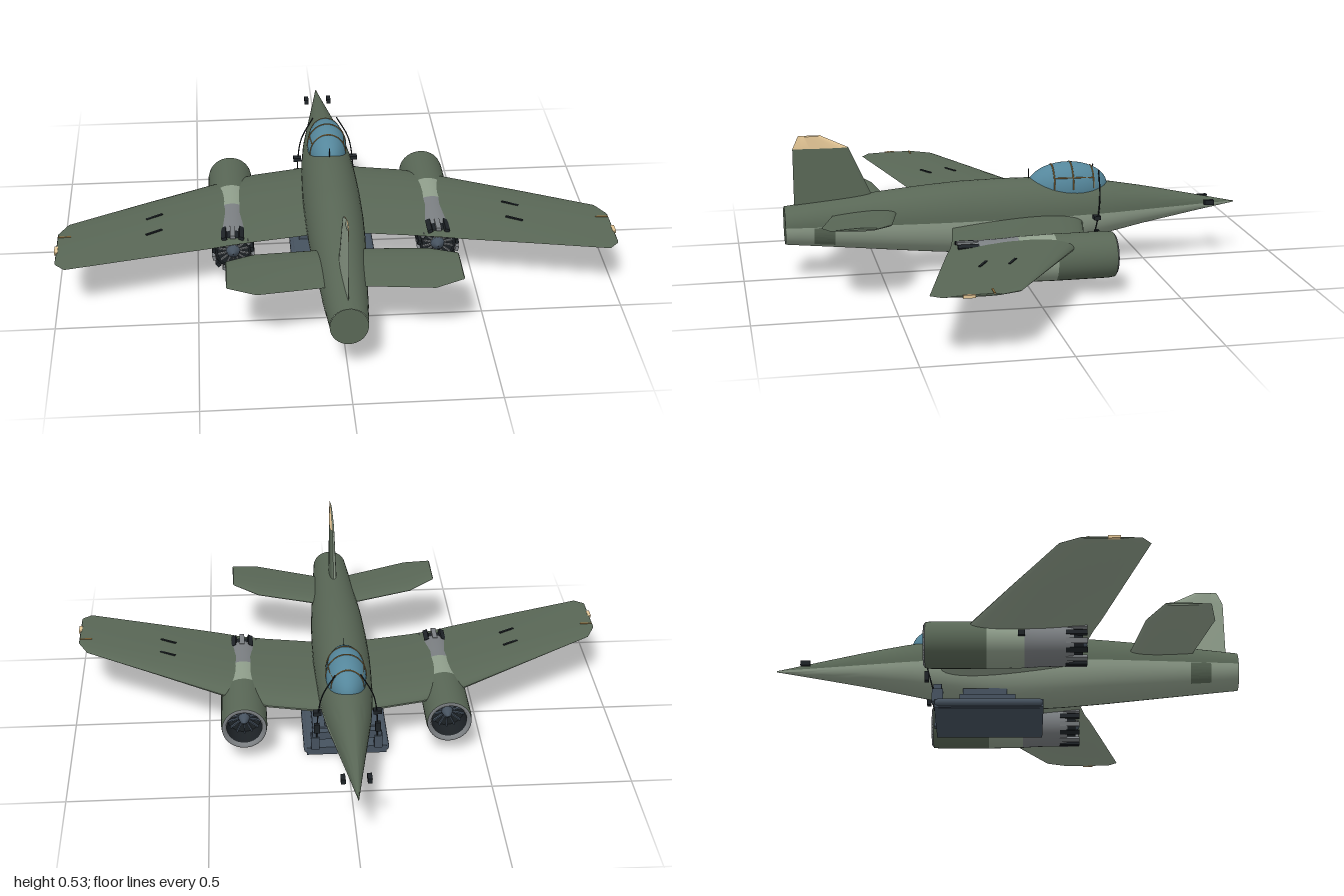
import * as THREE from 'three';
import { toCreasedNormals } from 'three/addons/utils/BufferGeometryUtils.js';

const paint = (name, color) => {
  const m = new THREE.MeshStandardMaterial({ color, side: THREE.DoubleSide });
  m.name = name;
  return m;
};

// surface swept over a grid of points f(i, j)
function sweep(nu, nv, f) {
  const pos = [], idx = [];
  for (let i = 0; i <= nu; i++) for (let j = 0; j <= nv; j++) pos.push(...f(i, j));
  for (let i = 0; i < nu; i++) for (let j = 0; j < nv; j++) {
    const a = i * (nv + 1) + j, b = a + nv + 1;
    idx.push(a, a + 1, b, a + 1, b + 1, b);
  }
  const g = new THREE.BufferGeometry();
  g.setAttribute('position', new THREE.Float32BufferAttribute(pos, 3));
  g.setIndex(idx);
  return toCreasedNormals(g, 0.6);
}

// one face of an airfoil; each station is [span, leading z, trailing z, height, half thickness, trailing lift]
function foil(stations, top) {
  const n = 16;
  return sweep(stations.length - 1, n, (i, j) => {
    const [x, le, te, y, h, lift = 0] = stations[i];
    const t = (1 - Math.cos(Math.PI * (top ? j / n : 1 - j / n))) / 2;
    const k = (0.2969 * Math.sqrt(t) - 0.126 * t - 0.3516 * t * t + 0.2843 * t ** 3 - 0.1036 * t ** 4) * 10;
    return [x, y + lift * t + (top ? 1 : -1) * h * k, le + (te - le) * t];
  });
}
const bothSides = (half) => [...half.slice().reverse().map(([x, ...r]) => [-x, ...r]), ...half];

// fuselage stations: [z, half width, top y, bottom y]
const BODY = [
  [-0.85, 0.001, 0.207, 0.203], [-0.7, 0.025, 0.24, 0.178], [-0.5, 0.058, 0.283, 0.143],
  [-0.35, 0.083, 0.31, 0.112], [-0.2, 0.098, 0.328, 0.08], [-0.05, 0.104, 0.336, 0.06],
  [0.05, 0.106, 0.337, 0.057], [0.2, 0.105, 0.335, 0.066], [0.35, 0.1, 0.325, 0.08],
  [0.5, 0.09, 0.311, 0.096], [0.65, 0.08, 0.295, 0.112], [0.847, 0.065, 0.272, 0.132],
];
const MID = 0.208;
function bodySkin(z0, z1, a0, a1, scale = 1) {
  const rows = 32, cols = 20;
  return sweep(rows, cols, (i, j) => {
    const z = z0 + (z1 - z0) * i / rows, a = a0 + (a1 - a0) * j / cols;
    let k = 1;
    while (k < BODY.length - 1 && BODY[k][0] < z) k++;
    const p = BODY[k - 1], q = BODY[k], t = (z - p[0]) / (q[0] - p[0]);
    const [, w, top, low] = p.map((v, n) => v + (q[n] - v) * t);
    const s = Math.sin(a);
    return [w * Math.cos(a) * scale, MID + s * (s > 0 ? top - MID : MID - low) * scale, z];
  });
}

export function createModel() {
  const model = new THREE.Group();
  const green = paint('olive green', 0x596756), pale = paint('pale green', 0x909f8c);
  const grey = paint('metal grey', 0x7b7f82), black = paint('soot black', 0x1d2226);
  const glass = paint('canopy blue', 0x55879c), slate = paint('slate', 0x46525f);
  const tan = paint('tan', 0xe6c897), brown = paint('frame brown', 0x94733f);

  const add = (name, geo, mat, x = 0, y = 0, z = 0, parent = model) => {
    const m = new THREE.Mesh(geo, mat);
    m.name = name;
    m.position.set(x, y, z);
    parent.add(m);
    return m;
  };
  const box = (name, mat, w, h, d, x, y, z, parent) => add(name, new THREE.BoxGeometry(w, h, d), mat, x, y, z, parent);
  const rod = (name, mat, r, ...pts) => add(name, new THREE.TubeGeometry(
    new THREE.CatmullRomCurve3(pts.map((p) => new THREE.Vector3(...p))), 16, r, 6), mat);

  // fuselage: green back, pale belly, closed tail
  add('upperFuselage', bodySkin(-0.85, 0.847, 0, Math.PI), green);
  add('lowerFuselage', bodySkin(-0.85, 0.847, -Math.PI, 0), pale);
  const tail = add('tailCap', new THREE.CircleGeometry(1, 32), green, 0, 0.202, 0.847);
  tail.scale.set(0.065, 0.07, 1);
  add('leftTailPatch', bodySkin(0.67, 0.745, -0.9, -0.02, 1.012), green);
  add('rightTailPatch', bodySkin(0.67, 0.745, -Math.PI + 0.02, -Math.PI + 0.9, 1.012), green);

  // wings and tailplane: green above, pale below
  const wing = bothSides([
    [0.05, -0.25, 0.24, 0.178, 0.034, 0.008], [0.28, -0.2, 0.28, 0.18, 0.032, 0.008],
    [0.37, -0.16, 0.3, 0.182, 0.03, 0.008], [0.45, -0.12, 0.325, 0.187, 0.027, 0.007],
    [0.7, 0.02, 0.392, 0.203, 0.016, 0.003], [0.955, 0.165, 0.46, 0.217, 0.007],
    [0.988, 0.23, 0.43, 0.22, 0.004], [0.99, 0.24, 0.42, 0.22, 0],
  ]);
  const tailplane = bothSides([
    [0.03, 0.44, 0.67, 0.243, 0.015], [0.3, 0.492, 0.738, 0.268, 0.011],
    [0.397, 0.552, 0.716, 0.284, 0.006], [0.4, 0.56, 0.71, 0.284, 0],
  ]);
  add('wingTop', foil(wing, true), green);
  add('wingUnderside', foil(wing, false), pale);
  add('tailplaneTop', foil(tailplane, true), green);
  add('tailplaneUnderside', foil(tailplane, false), pale);

  // fin: green left face with a tan tip, pale right face
  const tip = [[0.483, 0.61, 0.81, 0, 0.009], [0.528, 0.705, 0.79, 0, 0.005], [0.531, 0.71, 0.787, 0, 0]];
  const root = [0.25, 0.505, 0.81, 0, 0.016];
  const upright = (geo) => geo.rotateZ(Math.PI / 2);
  add('finRight', upright(foil([root, ...tip], true)), pale);
  add('finLeft', upright(foil([root, tip[0]], false)), green);
  add('finTipLeft', upright(foil(tip, false)), tan);

  // canopy and its frame
  const canopy = add('canopy', new THREE.SphereGeometry(1, 40, 24), glass, 0, 0.3, -0.2);
  canopy.scale.set(0.073, 0.09, 0.152);
  for (const z of [-0.29, -0.21, -0.14]) {
    const k = Math.sqrt(1 - ((z + 0.2) / 0.152) ** 2);
    const hoop = add('canopyHoop', new THREE.TorusGeometry(1, 0.035, 6, 32, Math.PI), brown, 0, 0.3, z);
    hoop.scale.set(0.073 * k, 0.09 * k, 0.08);
  }
  for (const s of [-1, 1]) rod('canopyRail', brown, 0.0025,
    [s * 0.05, 0.338, -0.29], [s * 0.064, 0.343, -0.21], [s * 0.058, 0.343, -0.14]);
  rod('aerial', black, 0.002, [0, 0.33, -0.055], [0, 0.35, -0.055], [0, 0.37, -0.055]);

  // engines
  const lathe = (pts) => new THREE.LatheGeometry(pts.map(([r, z]) => new THREE.Vector2(r, z)), 36).rotateX(Math.PI / 2);
  for (const s of [-1, 1]) {
    const engine = new THREE.Group();
    engine.name = s > 0 ? 'leftEngine' : 'rightEngine';
    engine.position.set(s * 0.37, 0.138, 0);
    model.add(engine);
    const part = (name, geo, mat, z = 0) => add(name, geo, mat, 0, 0, z, engine);
    part('frontCowling', lathe([[0.08, -0.283], [0.083, -0.26], [0.083, -0.07]]), green);
    part('middleCowling', lathe([[0.083, -0.07], [0.0805, 0.06]]), pale);
    part('rearCowling', lathe([[0.0805, 0.06], [0.077, 0.11], [0.075, 0.2], [0.07, 0.23]]), grey);
    part('intakeLip', lathe([[0.064, -0.275], [0.071, -0.29], [0.08, -0.283]]), grey);
    part('intakeDuct', lathe([[0.064, -0.2], [0.064, -0.275]]), black);
    part('intakeBack', new THREE.CircleGeometry(0.065, 32), black, -0.2);
    part('spinner', lathe([[0.001, -0.25], [0.015, -0.23], [0.022, -0.2]]), slate);
    part('exhaustCore', lathe([[0.068, 0.2], [0.066, 0.262], [0.055, 0.262]]), black);
    part('exhaustBack', new THREE.CircleGeometry(0.066, 32), black, 0.25);
    part('exhaustHub', lathe([[0.026, 0.25], [0.022, 0.265], [0.001, 0.28]]), slate);
    for (let i = 0; i < 14; i++) {
      const spoke = new THREE.Group();
      spoke.name = 'engineSpoke';
      spoke.rotation.z = i * Math.PI / 7;
      engine.add(spoke);
      box('fanBlade', slate, 0.005, 0.042, 0.01, 0, 0.042, -0.207, spoke);
      box('exhaustVane', grey, 0.005, 0.04, 0.008, 0, 0.045, 0.255, spoke);
      box('exhaustFinger', i % 2 ? black : grey, 0.018, 0.012, 0.075, 0, 0.07, 0.24, spoke);
    }
  }

  // belly sled
  box('sledPlate', slate, 0.29, 0.03, 0.39, 0, 0.017, -0.065);
  box('sledSkid', slate, 0.27, 0.006, 0.36, 0, 0.003, -0.065);
  box('sledBody', slate, 0.24, 0.03, 0.2, 0, 0.048, -0.07);
  box('sledMount', slate, 0.15, 0.05, 0.16, 0, 0.08, -0.08);
  box('sledCrossbar', slate, 0.25, 0.03, 0.03, 0, 0.085, -0.25);
  for (const s of [-1, 1]) {
    const edge = add('sledRail', new THREE.CapsuleGeometry(0.014, 0.36, 4, 10).rotateX(Math.PI / 2), slate, s * 0.145, 0.019, -0.065);
    edge.scale.x = 0.8;
    box('sledPost', slate, 0.03, 0.05, 0.04, s * 0.115, 0.055, -0.25);
    // harness beside the cockpit
    rod('harness', black, 0.0025, [s * 0.045, 0.365, -0.31], [s * 0.09, 0.28, -0.305], [s * 0.105, 0.2, -0.295], [s * 0.11, 0.08, -0.265]);
    box('harnessClamp', black, 0.03, 0.014, 0.025, s * 0.108, 0.2, -0.29);
    box('harnessBlock', black, 0.02, 0.035, 0.016, s * 0.11, 0.135, -0.29);

    // nose probes, underwing lugs, wing slots and tip lights
    box('noseProbe', black, 0.016, 0.018, 0.036, s * 0.045, 0.218, -0.74);
    for (const x of [0.22, 0.29, 0.45]) box('underwingLug', black, 0.02, 0.02, 0.025, s * x, 0.145, 0.05);
    for (const z of [0.135, 0.235]) {
      const slot = box('wingSlot', black, 0.065, 0.008, 0.008, s * 0.65, z < 0.2 ? 0.218 : 0.215, z);
      slot.rotation.y = -s * 0.52;
    }
    box('tipLight', tan, 0.012, 0.01, 0.04, s * 0.99, 0.22, 0.34);
    box('tipMarker', brown, 0.045, 0.008, 0.006, s * 0.965, 0.222, 0.258);
  }
  return model;
}
